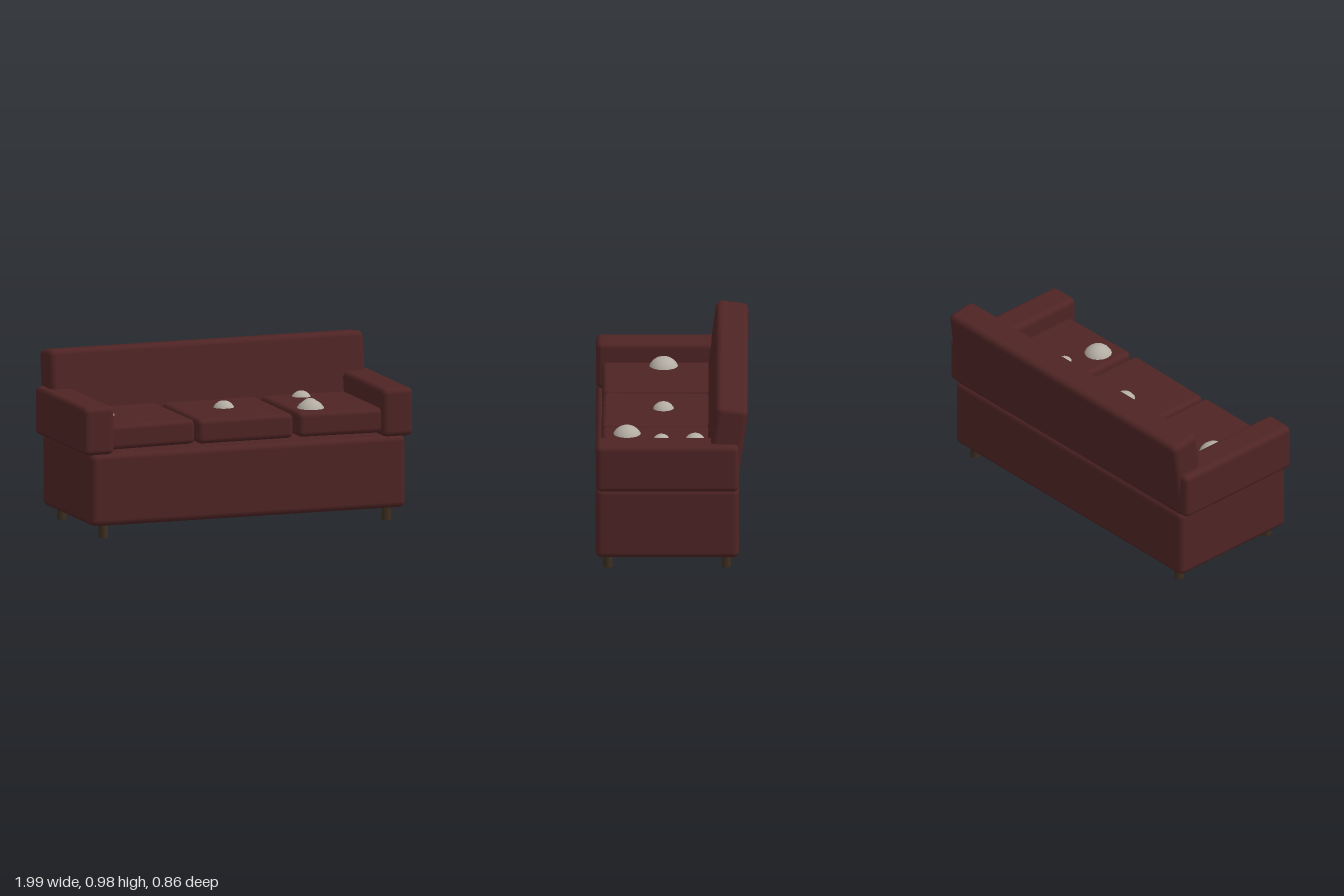
import * as THREE from 'three';
import { RoundedBoxGeometry } from 'three/addons/geometries/RoundedBoxGeometry.js';

export function createModel() {
  const sofa = new THREE.Group();
  sofa.name = 'sofa';

  const material = (name, color) => {
    const m = new THREE.MeshStandardMaterial({ color });
    m.name = name;
    return m;
  };
  const upholstery = material('dark red upholstery', 0x4f2424);
  const wood = material('dark wood', 0x3d2e20);
  const wool = material('pale grey', 0xb3ada3);

  const add = (name, geometry, mat, x, y, z) => {
    const mesh = new THREE.Mesh(geometry, mat);
    mesh.name = name;
    mesh.position.set(x, y, z);
    sofa.add(mesh);
    return mesh;
  };
  const block = (name, w, h, d, r, x, y, z) =>
    add(name, new RoundedBoxGeometry(w, h, d, 2, r), upholstery, x, y, z);

  // Base and leaning backrest
  block('base', 1.9, 0.415, 0.81, 0.035, 0, 0.2825, 0.027);
  const lean = -0.138;
  const back = block('backrest', 1.9, 0.5, 0.185, 0.035, 0, 0.724, -0.308);
  back.rotation.x = lean;

  // Arms and legs, mirrored left and right
  for (const side of [-1, 1]) {
    const label = side > 0 ? 'left' : 'right';
    block(label + 'Arm', 0.185, 0.277, 0.81, 0.032, side * 0.9025, 0.622, 0.027);
    for (const [end, z] of [['Front', 0.363], ['Back', -0.306]]) {
      add(label + end + 'Leg', new THREE.CylinderGeometry(0.027, 0.027, 0.1, 12), wood, side * 0.855, 0.05, z);
    }
  }

  // Seat cushions, each settled slightly askew: x, roll, yaw
  const cushions = [
    ['rightCushion', -0.6, 0.012, 0.008],
    ['middleCushion', -0.002, 0.004, -0.01],
    ['leftCushion', 0.598, -0.01, 0.01],
  ];
  for (const [name, x, roll, yaw] of cushions) {
    const cushion = block(name, 0.575, 0.142, 0.64, 0.03, x, 0.577, 0.078);
    cushion.rotation.set(0, yaw, roll);
  }

  // Balls sunk into the seat: x, y, z, radius
  const balls = [
    [-0.755, 0.61, 0.05, 0.09],
    [-0.01, 0.62, 0.05, 0.066],
    [0.437, 0.61, 0.255, 0.088],
    [0.507, 0.617, 0.06, 0.053],
    [0.525, 0.619, -0.13, 0.062],
  ];
  balls.forEach(([x, y, z, r], i) =>
    add('ball' + (i + 1), new THREE.SphereGeometry(r, 16, 12), wool, x, y, z));

  return sofa;
}
